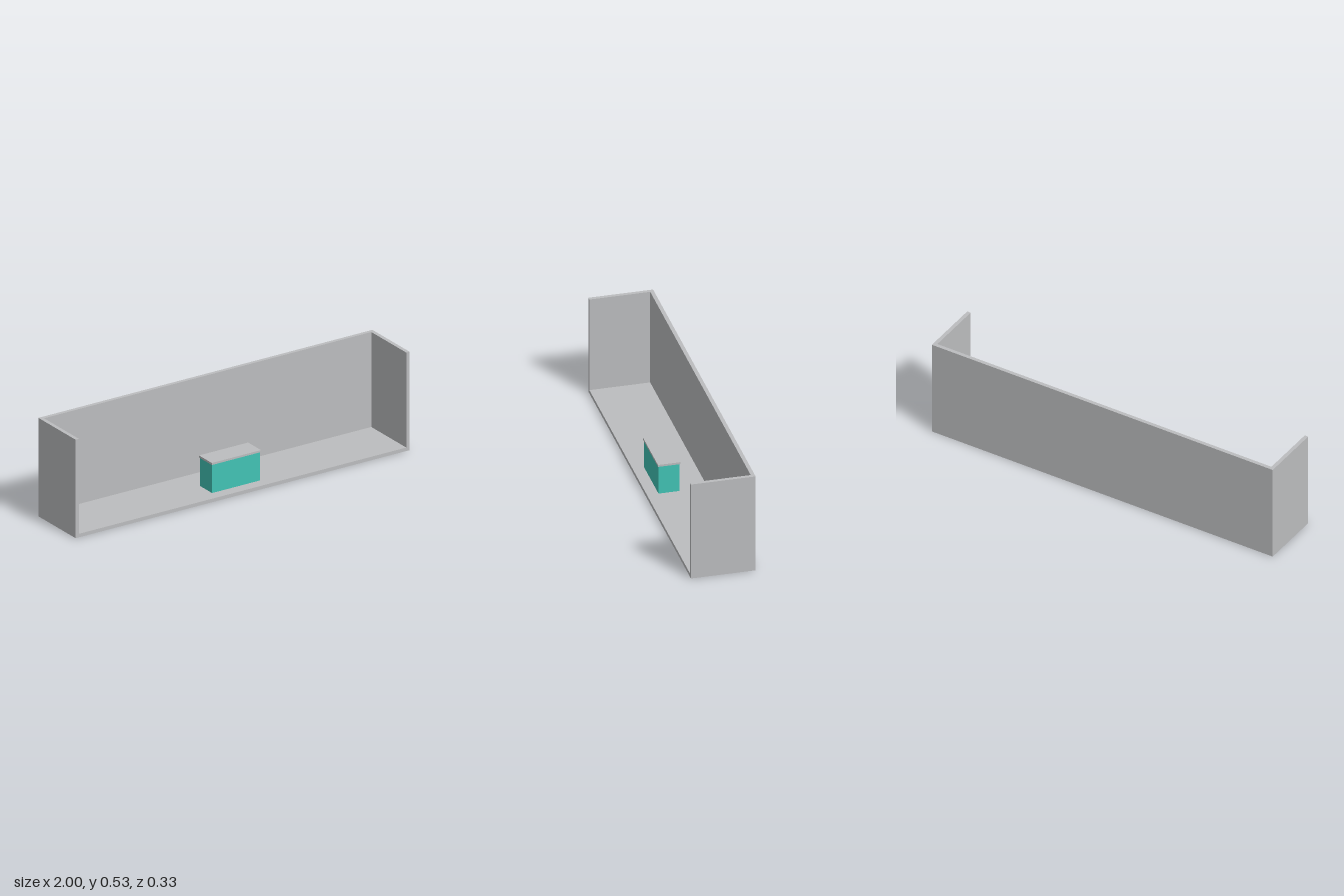
import * as THREE from 'three';

export function createModel() {
  const group = new THREE.Group();
  const material = (name, color) => {
    const m = new THREE.MeshStandardMaterial({ color });
    m.name = name;
    return m;
  };
  const grey = material('wall grey', 0xbcbdbf);
  const teal = material('counter teal', 0x42c3b4);

  const W = 2, H = 0.534, D = 0.333, T = 0.02;

  // Box given by its low and high corners
  const slab = (name, mat, [x0, y0, z0], [x1, y1, z1]) => {
    const mesh = new THREE.Mesh(new THREE.BoxGeometry(x1 - x0, y1 - y0, z1 - z0), mat);
    mesh.position.set((x0 + x1) / 2, (y0 + y1) / 2, (z0 + z1) / 2);
    mesh.name = name;
    group.add(mesh);
  };

  // Booth shell, open at the front and top
  slab('floor', grey, [-W / 2 + T, 0.001, -D / 2 + T], [W / 2 - T, T, D / 2]);
  slab('backWall', grey, [-W / 2 + T, 0.001, -D / 2], [W / 2 - T, H, -D / 2 + T]);
  slab('leftWall', grey, [W / 2 - T, 0.001, -D / 2], [W / 2, H, D / 2]);
  slab('rightWall', grey, [-W / 2, 0.001, -D / 2], [-W / 2 + T, H, D / 2]);

  // Counter, reaching through the floor, with an overhanging top
  slab('counterBody', teal, [-0.143, 0, 0], [0.143, 0.174, 0.107]);
  slab('counterTop', grey, [-0.147, 0.174, -0.004], [0.147, 0.185, 0.111]);

  return group;
}
